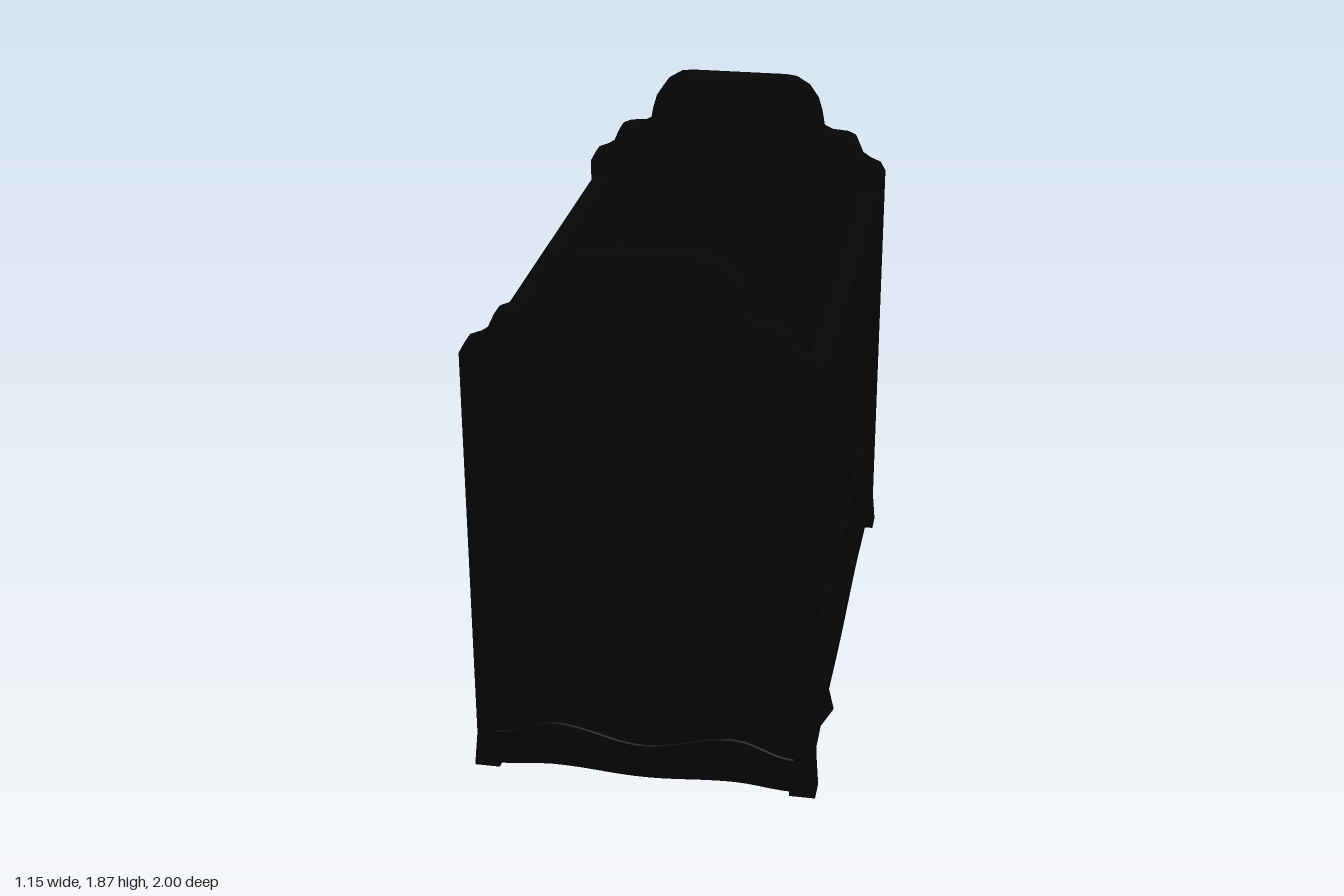
import * as THREE from 'three';

const wood = new THREE.MeshStandardMaterial({ color: 0x050505, flatShading: true });
const cloth = new THREE.MeshStandardMaterial({ color: 0x050505, side: THREE.DoubleSide });

function add(parent, name, geometry, material = wood) {
  const mesh = new THREE.Mesh(geometry, material);
  mesh.name = name;
  parent.add(mesh);
  return mesh;
}

// Box given by its limits on each axis
function block(parent, name, [x0, x1], [y0, y1], [z0, z1]) {
  const g = new THREE.BoxGeometry(x1 - x0, y1 - y0, z1 - z0);
  g.translate((x0 + x1) / 2, (y0 + y1) / 2, (z0 + z1) / 2);
  return add(parent, name, g);
}

// Double-bow wave: high at 0.6 of the half length, low in the middle and at the ends
const bow = (t) => {
  const a = Math.abs(t);
  return a < 0.6 ? 0.5 - 0.5 * Math.cos(Math.PI * a / 0.6) : 0.5 + 0.5 * Math.cos(Math.PI * (a - 0.6) / 0.4);
};

// Apron with a slightly wavy lower edge, in x-y, extruded toward +z
function apronGeometry(half, top, depth) {
  const s = new THREE.Shape();
  s.moveTo(half, top);
  s.lineTo(-half, top);
  for (let i = 0; i <= 32; i++) {
    const t = i / 16 - 1;
    s.lineTo(t * half, 0.004 + 0.016 * bow(t));
  }
  return new THREE.ExtrudeGeometry(s, { depth, bevelEnabled: false });
}

// Wavy moulding strip along the apron
function mouldingGeometry(half, z, radius) {
  const pts = [];
  for (let i = 0; i <= 24; i++) {
    const t = i / 12 - 1;
    pts.push(new THREE.Vector3(t * half, 0.13 + 0.055 * bow(t), z));
  }
  return new THREE.TubeGeometry(new THREE.CatmullRomCurve3(pts), 48, radius, 6);
}

// Stepped, arched end board with apron and feet, built at +z
function buildEnd() {
  const end = new THREE.Group();
  const profile = [[0.567, 0.12], [0.567, 1.505], [0.548, 1.54], [0.51, 1.555], [0.48, 1.575], [0.465, 1.61],
    [0.45, 1.642], [0.42, 1.655], [0.36, 1.66], [0.33, 1.675], [0.32, 1.73], [0.305, 1.78], [0.27, 1.83], [0.22, 1.86], [0.18, 1.865]];
  const s = new THREE.Shape();
  profile.forEach(([x, y], i) => (i ? s.lineTo(x, y) : s.moveTo(x, y)));
  [...profile].reverse().forEach(([x, y]) => s.lineTo(-x, y));
  const board = new THREE.ExtrudeGeometry(s, { depth: 0.072, bevelEnabled: false });
  board.translate(0, 0, 0.914);
  add(end, 'endBoard', board);
  block(end, 'endTrim', [-0.567, 0.567], [0.345, 0.355], [0.95, 0.989]);

  const apron = apronGeometry(0.5, 0.2, 0.055);
  apron.translate(0, 0, 0.926);
  add(end, 'endApron', apron);
  add(end, 'endMoulding', mouldingGeometry(0.5, 0.981, 0.008));

  for (const side of [-1, 1]) {
    // Foot flares outward toward the floor
    const foot = new THREE.BoxGeometry(0.077, 0.12, 0.072, 1, 4, 1);
    foot.translate(side * 0.5285, 0.06, 0.95);
    const p = foot.attributes.position;
    for (let i = 0; i < p.count; i++) {
      const f = 1 - p.getY(i) / 0.12;
      if (Math.abs(p.getX(i)) > 0.53) p.setX(i, p.getX(i) + side * 0.009 * f);
      if (p.getZ(i) > 0.95) p.setZ(i, p.getZ(i) + 0.014 * f);
    }
    foot.computeVertexNormals();
    add(end, 'foot', foot);
  }
  return end;
}

// Slatted long side with rails, panel and apron, built at +x
function buildSide() {
  const side = new THREE.Group();
  block(side, 'topRail', [0.487, 0.553], [1.355, 1.447], [-0.92, 0.92]);
  block(side, 'lowerPanel', [0.495, 0.548], [0.18, 0.46], [-0.92, 0.92]);
  for (const z of [-0.889, 0.889]) block(side, 'stile', [0.495, 0.548], [0.15, 1.36], [z - 0.03, z + 0.03]);
  for (let i = 0; i < 17; i++) {
    const z = -0.8 + i * 0.1;
    block(side, 'slat', [0.51, 0.532], [0.45, 1.36], [z - 0.01, z + 0.01]);
  }

  const apron = apronGeometry(0.92, 0.2, 0.048);
  apron.rotateY(Math.PI / 2);
  apron.translate(0.498, 0, 0);
  add(side, 'sideApron', apron);
  const moulding = mouldingGeometry(0.91, 0, 0.012);
  moulding.rotateY(Math.PI / 2);
  moulding.translate(0.542, 0, 0);
  add(side, 'sideMoulding', moulding);

  // Small pointed spur on the apron's lower edge
  const spur = new THREE.ConeGeometry(0.11, 0.13, 4);
  spur.scale(0.28, 1, 1);
  spur.translate(0.545, 0.069, 0.46);
  add(side, 'apronSpur', spur);
  return side;
}

// Crumpled blanket: ridges follow a crest line along the bed
function buildBlanket() {
  const crest = [[-0.88, 0.655], [-0.65, 0.67], [-0.5, 0.71], [-0.35, 0.71], [-0.2, 0.73], [0, 0.74],
    [0.2, 0.76], [0.3, 0.75], [0.45, 0.69], [0.6, 0.71], [0.72, 0.72], [0.78, 0.645]];
  const crestAt = (z) => {
    for (let i = 1; i < crest.length; i++) {
      const [z0, y0] = crest[i - 1], [z1, y1] = crest[i];
      if (z <= z1) return y0 + (y1 - y0) * (z - z0) / (z1 - z0);
    }
    return 0.645;
  };
  const g = new THREE.PlaneGeometry(0.96, 1.66, 48, 80);
  g.rotateX(-Math.PI / 2);
  g.translate(0, 0, -0.07);
  const p = g.attributes.position;
  for (let i = 0; i < p.count; i++) {
    const x = p.getX(i);
    let z = p.getZ(i);
    // Cut the front right corner diagonally and ease the other one
    const cut = 0.28 * Math.max(0, x - 0.15) / 0.33 + 0.12 * Math.max(0, -x - 0.2) / 0.28;
    if (z > 0.2) z -= cut * (z - 0.2) / 0.56;
    const fold = 0.6 + 0.25 * Math.sin(7 * x + 9 * z + 1) + 0.15 * Math.sin(13 * x - 8 * z);
    const edge = Math.min(1, (0.48 - Math.abs(x)) / 0.08);
    let y = 0.643 + (crestAt(p.getZ(i)) - 0.643) * fold * edge;
    // Bunched-up peak
    y += 0.13 * Math.exp(-(((x + 0.33) / 0.07) ** 2) - ((z - 0.085) / 0.05) ** 4);
    p.setXYZ(i, x, y, z);
  }
  g.computeVertexNormals();
  return g;
}

export function createModel() {
  const crib = new THREE.Group();
  crib.name = 'crib';

  const front = buildEnd();
  front.name = 'frontEnd';
  const back = buildEnd();
  back.name = 'backEnd';
  back.rotation.y = Math.PI;

  const left = buildSide();
  left.name = 'leftSide';
  const right = buildSide();
  right.name = 'rightSide';
  right.scale.x = -1;
  crib.add(front, back, left, right);

  // Bedding: a mattress deck on a hollow frame, covered by the blanket
  block(crib, 'mattress', [-0.492, 0.492], [0.61, 0.645], [-0.914, 0.914]);
  for (const s of [-1, 1]) {
    block(crib, 'frameSide', [s * 0.482 - 0.01, s * 0.482 + 0.01], [0.44, 0.62], [-0.9, 0.9]);
    block(crib, 'frameEnd', [-0.48, 0.48], [0.44, 0.62], [s * 0.89 - 0.01, s * 0.89 + 0.01]);
  }
  add(crib, 'blanket', buildBlanket(), cloth);
  return crib;
}
